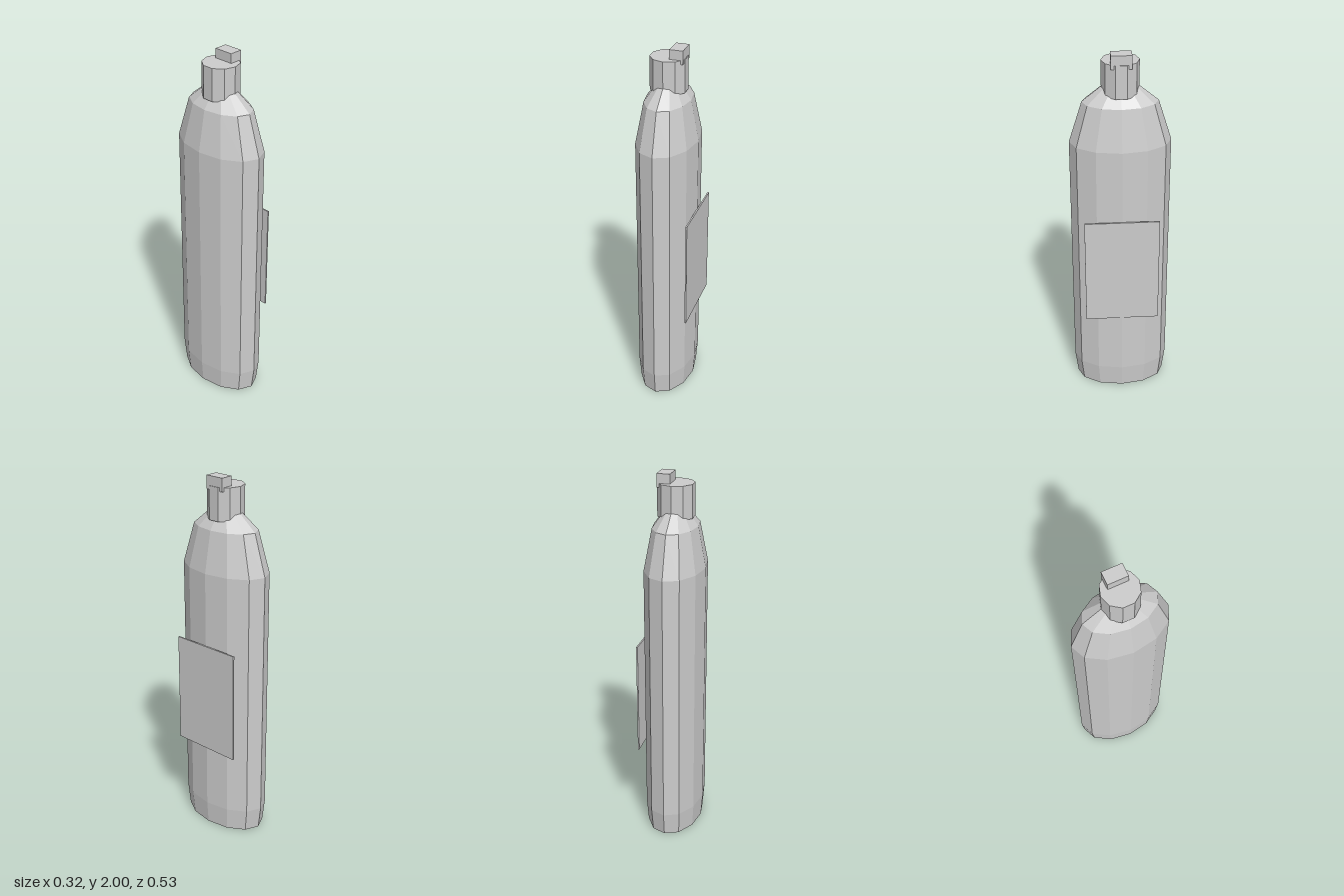
import * as THREE from 'three';

export function createModel() {
  const model = new THREE.Group();
  const material = new THREE.MeshStandardMaterial({ color: 0xcccccc, flatShading: true });
  const axisX = -0.004;

  function add(name, geometry, x, y, z = 0) {
    const mesh = new THREE.Mesh(geometry, material);
    mesh.name = name;
    mesh.position.set(x, y, z);
    model.add(mesh);
    return mesh;
  }

  // Oval twelve-sided bottle: [scale of the widest section, height]
  const profile = [[0, 0], [0.94, 0], [1, 0.13], [1, 1.51], [0.74, 1.73], [0.37, 1.81], [0, 1.81]]
    .map(([r, y]) => new THREE.Vector2(r, y));
  const bottle = new THREE.LatheGeometry(profile, 12);
  bottle.scale(0.159, 1, 0.265);
  add('bottle', bottle, axisX, 0);

  // Ten-sided cap that overhangs the narrow neck
  add('cap', new THREE.CylinderGeometry(0.097, 0.097, 0.175, 10), axisX, 1.8625);

  // Small flip tab set off-centre on the cap
  add('capTab', new THREE.BoxGeometry(0.07, 0.07, 0.106), 0.049, 1.965, -0.001);

  // Thin flat label plate on the left side
  add('label', new THREE.BoxGeometry(0.008, 0.615, 0.398), 0.156, 0.8, 0);

  return model;
}
